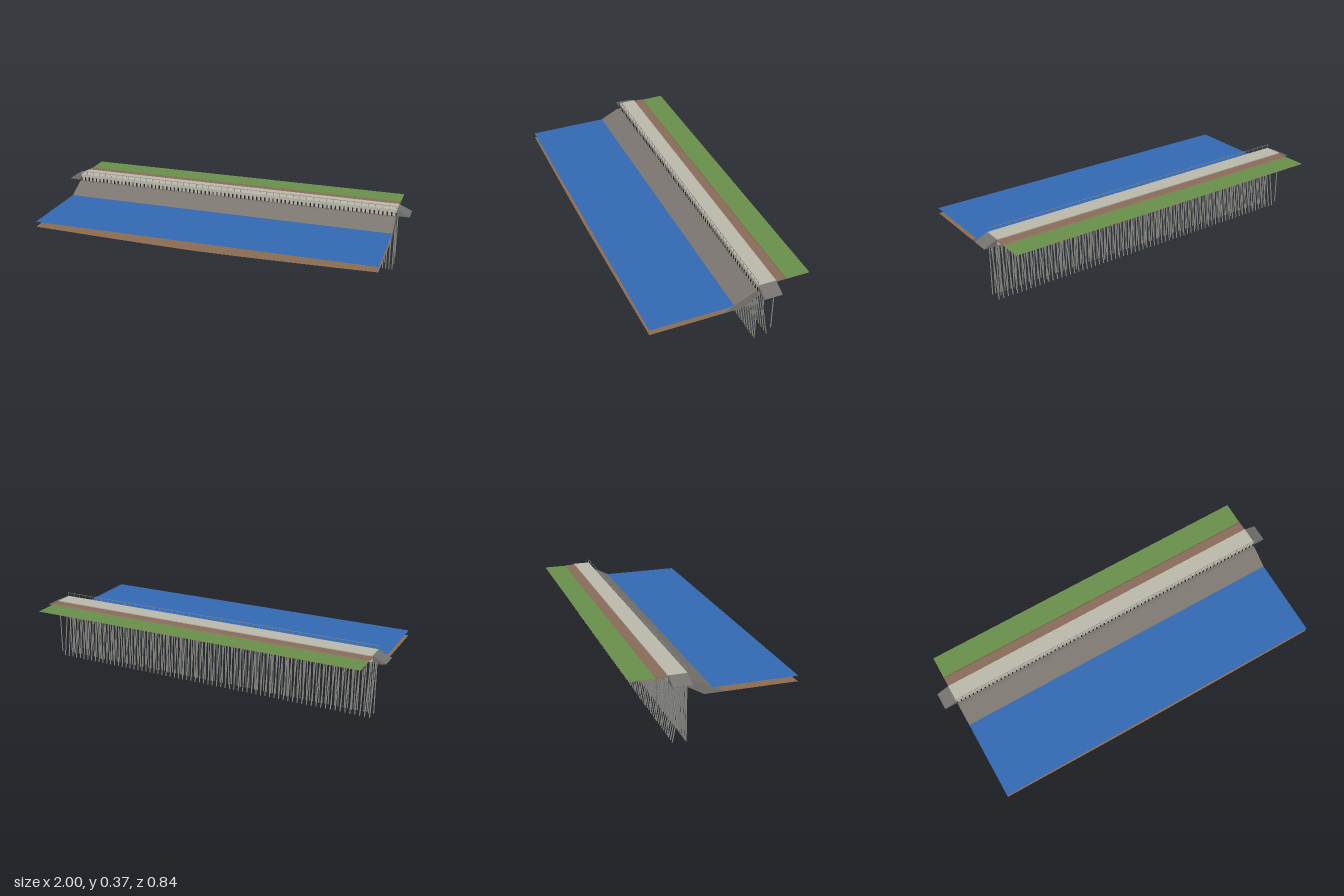
import * as THREE from 'three';

const L = 0.93;                 // half length of the quay
const mat = (name, color, opts = {}) => {
  const m = new THREE.MeshStandardMaterial({ color, ...opts });
  m.name = name;
  return m;
};

// Seabed height: shallow sag towards the middle
const bed = (x) => 0.215 + 0.017 * Math.pow(Math.abs(x) / L, 1.4);

// Sheet swept along x through cross-sections of [z, y] points
function sweep(section, steps = 24) {
  const pos = [], idx = [];
  const n = section(0).length;
  for (let i = 0; i <= steps; i++) {
    const x = -L + (2 * L * i) / steps;
    for (const [z, y] of section(x)) pos.push(x, y, z);
  }
  for (let i = 0; i < steps; i++) {
    for (let j = 0; j < n - 1; j++) {
      const a = i * n + j, b = a + n;
      idx.push(a, b, a + 1, b, b + 1, a + 1);
    }
  }
  const g = new THREE.BufferGeometry();
  g.setAttribute('position', new THREE.Float32BufferAttribute(pos, 3));
  g.setIndex(idx);
  const flat = g.toNonIndexed();
  flat.computeVertexNormals();
  return flat;
}

export function createModel() {
  const group = new THREE.Group();
  const DS = { side: THREE.DoubleSide };
  const soil = mat('soil brown', 0x8b6d52, DS);
  const track = mat('track brown', 0x8a6c5a);
  const grass = mat('grass green', 0x69904a, DS);
  const water = mat('water blue', 0x3369b4, DS);
  const rock = mat('rock grey', 0x7a756f, DS);
  const concrete = mat('concrete', 0xbcb9ac);
  const wing = mat('wing grey', 0x74726e);
  const steel = mat('pile grey', 0x8a8a86);
  const rubber = mat('fender black', 0x2a2a2a);

  const add = (name, geo, material, x = 0, y = 0, z = 0) => {
    const m = new THREE.Mesh(geo, material);
    m.name = name;
    m.position.set(x, y, z);
    group.add(m);
    return m;
  };
  const sheet = (name, z0, z1, y, material) => {
    const g = new THREE.PlaneGeometry(2 * L, Math.abs(z1 - z0)).rotateX(-Math.PI / 2);
    return add(name, g, material, 0, y, (z0 + z1) / 2);
  };
  const row = (name, count, geo, material, y, z, rx = 0) => {
    const m = new THREE.InstancedMesh(geo, material, count);
    m.name = name;
    const q = new THREE.Quaternion().setFromEuler(new THREE.Euler(rx, 0, 0));
    const s = new THREE.Vector3(1, 1, 1);
    for (let i = 0; i < count; i++) {
      const x = -L + 0.003 + ((2 * L - 0.006) * i) / (count - 1);
      m.setMatrixAt(i, new THREE.Matrix4().compose(new THREE.Vector3(x, y, z), q, s));
    }
    // plain meshes, one per item
    const g = new THREE.Group();
    g.name = name;
    for (let i = 0; i < count; i++) {
      const item = new THREE.Mesh(geo, material);
      item.name = name;
      m.getMatrixAt(i, item.matrix);
      item.matrix.decompose(item.position, item.quaternion, item.scale);
      g.add(item);
    }
    group.add(g);
  };

  // Ground: seabed, bank and upland as one sheet
  add('ground', sweep((x) => [[0.417, bed(x)], [-0.06, bed(x)], [-0.25, 0.34], [-0.42, 0.34]]), soil);
  sheet('grass', -0.295, -0.42, 0.342, grass);
  sheet('water', 0.417, -0.02, 0.261, water);

  // Track behind the quay
  const t = new THREE.Shape([[0.235, 0.341], [0.294, 0.341], [0.289, 0.345], [0.235, 0.345]]
    .map(([z, y]) => new THREE.Vector2(z, y)));
  add('track', new THREE.ExtrudeGeometry(t, { depth: 2 * L, bevelEnabled: false })
    .rotateY(Math.PI / 2), track, -L);

  // Rock revetment: front slope, crest and back, with end faces
  const backY = (x) => bed(x) + (0.34 - bed(x)) * (0.085 / 0.19);
  const rockSection = (x) => [
    [0.037 + (0.232 - bed(x)) * 2, bed(x) + 0.0005], [-0.123, 0.313], [-0.145, 0.313], [-0.145, backY(x)],
  ];
  add('revetment', sweep(rockSection), rock);
  const end = new THREE.Shape([...rockSection(L), [-0.06, bed(L)]]
    .map(([z, y]) => new THREE.Vector2(-z, y)));
  for (const x of [-L, L]) add('revetmentEnd', new THREE.ShapeGeometry(end).rotateY(Math.PI / 2), rock, x);

  // Deck
  add('deck', new THREE.BoxGeometry(2 * L, 0.035, 0.095), concrete, 0, 0.3325, -0.19);

  // Sloping end wings
  const w = new THREE.Shape([[0, 0.315], [0.07, 0.315], [0.07, 0.318], [0, 0.349]]
    .map(([x, y]) => new THREE.Vector2(x, y)));
  for (const s of [1, -1]) {
    const g = new THREE.ExtrudeGeometry(w, { depth: 0.095, bevelEnabled: false }).translate(0, 0, -0.0475);
    add('endWing', g, wing, s * L, 0, -0.19).rotation.y = s > 0 ? 0 : Math.PI;
  }

  // Fenders along the front edge
  row('fender', 80, new THREE.BoxGeometry(0.007, 0.02, 0.003), rubber, 0.324, -0.1415);

  // Railing
  row('railPost', 50, new THREE.BoxGeometry(0.002, 0.02, 0.002), steel, 0.359, -0.143);
  add('rail', new THREE.BoxGeometry(2 * L, 0.002, 0.002), steel, 0, 0.369, -0.143);

  // Piles: front row, raking row, sparse back row
  const pile = (h) => new THREE.CylinderGeometry(0.003, 0.003, h, 8);
  row('frontPile', 107, pile(0.315), steel, 0.1575, -0.145);
  row('rakingPile', 72, pile(0.314), steel, 0.16, -0.186, Math.atan2(0.053, 0.305));
  row('backPile', 22, pile(0.275), steel, 0.1775, -0.235);

  return group;
}
